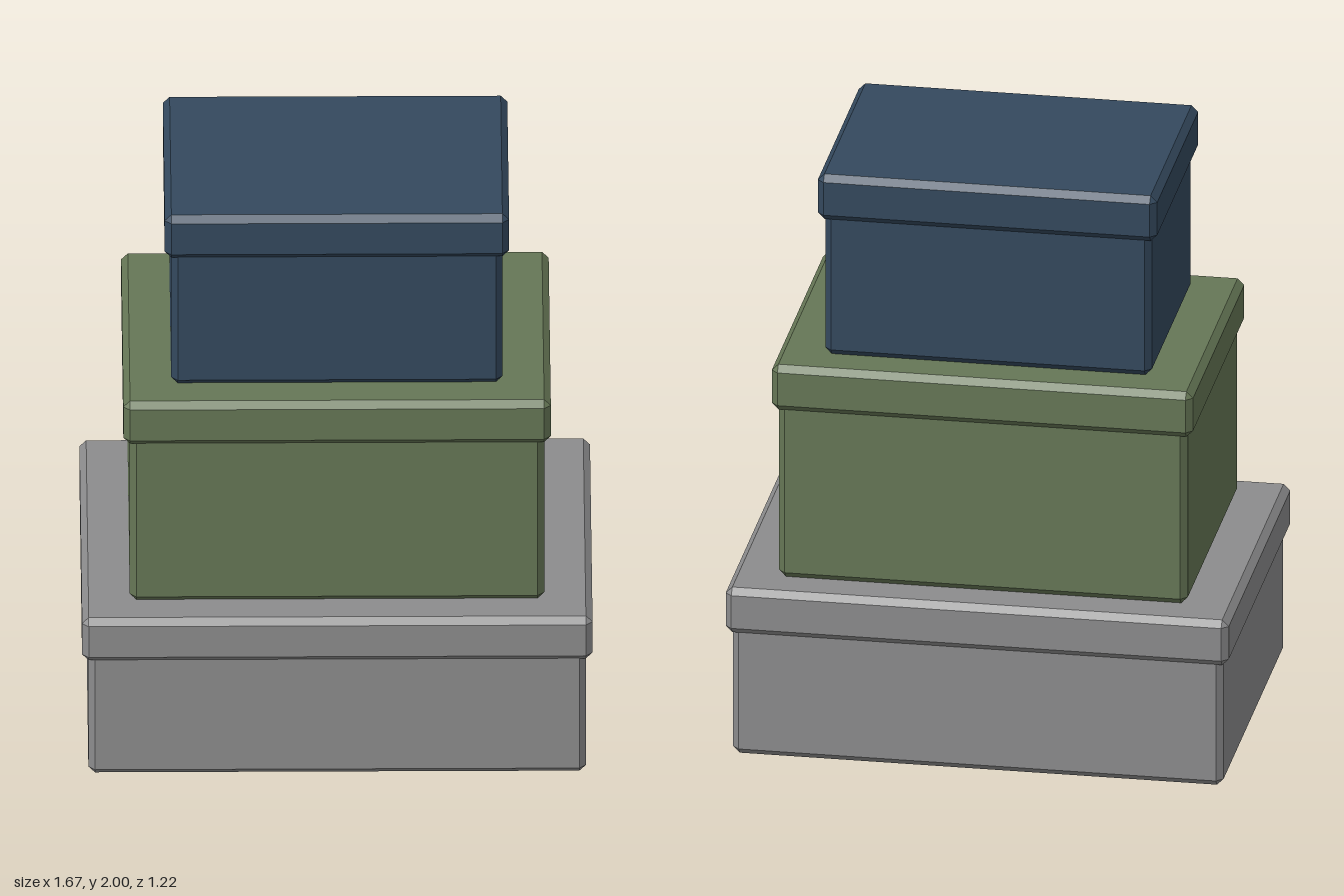
import * as THREE from 'three';
import { ConvexGeometry } from 'three/addons/geometries/ConvexGeometry.js';

const BEVEL = 0.022;

// Box with chamfered edges: three points at every corner, half sizes hx and hz
function chamferBox(hx, hz, y0, y1, b = BEVEL) {
  const points = [];
  const cy = (y0 + y1) / 2, hy = (y1 - y0) / 2;
  for (const sx of [-1, 1]) for (const sy of [-1, 1]) for (const sz of [-1, 1]) {
    for (const [a, c, d] of [[0, b, b], [b, 0, b], [b, b, 0]]) {
      points.push(new THREE.Vector3(sx * (hx - a), cy + sy * (hy - c), sz * (hz - d)));
    }
  }
  return new ConvexGeometry(points);
}

export function createModel() {
  const model = new THREE.Group();
  model.name = 'stackedBoxes';

  // Each box: lid half width and depth, bottom and top height
  const boxes = [
    { name: 'bottomBox', colorName: 'grey', color: 0x8c8c8d, hx: 0.836, hz: 0.608, y0: 0, y1: 0.595 },
    { name: 'middleBox', colorName: 'green', color: 0x667756, hx: 0.7, hz: 0.51, y0: 0.595, y1: 1.355 },
    { name: 'topBox', colorName: 'blue', color: 0x34495e, hx: 0.564, hz: 0.412, y0: 1.355, y1: 2 },
  ];
  const overhang = 0.021, lidHeight = 0.16;

  for (const { name, colorName, color, hx, hz, y0, y1 } of boxes) {
    const material = new THREE.MeshStandardMaterial({ color });
    material.name = colorName;
    const box = new THREE.Group();
    box.name = name;

    // Body reaches a little way up inside the lid
    const body = new THREE.Mesh(
      chamferBox(hx - overhang, hz - overhang, y0, y1 - lidHeight / 2), material);
    body.name = 'body';

    // Overhanging lid
    const lid = new THREE.Mesh(chamferBox(hx, hz, y1 - lidHeight, y1), material);
    lid.name = 'lid';

    box.add(body, lid);
    model.add(box);
  }
  return model;
}
